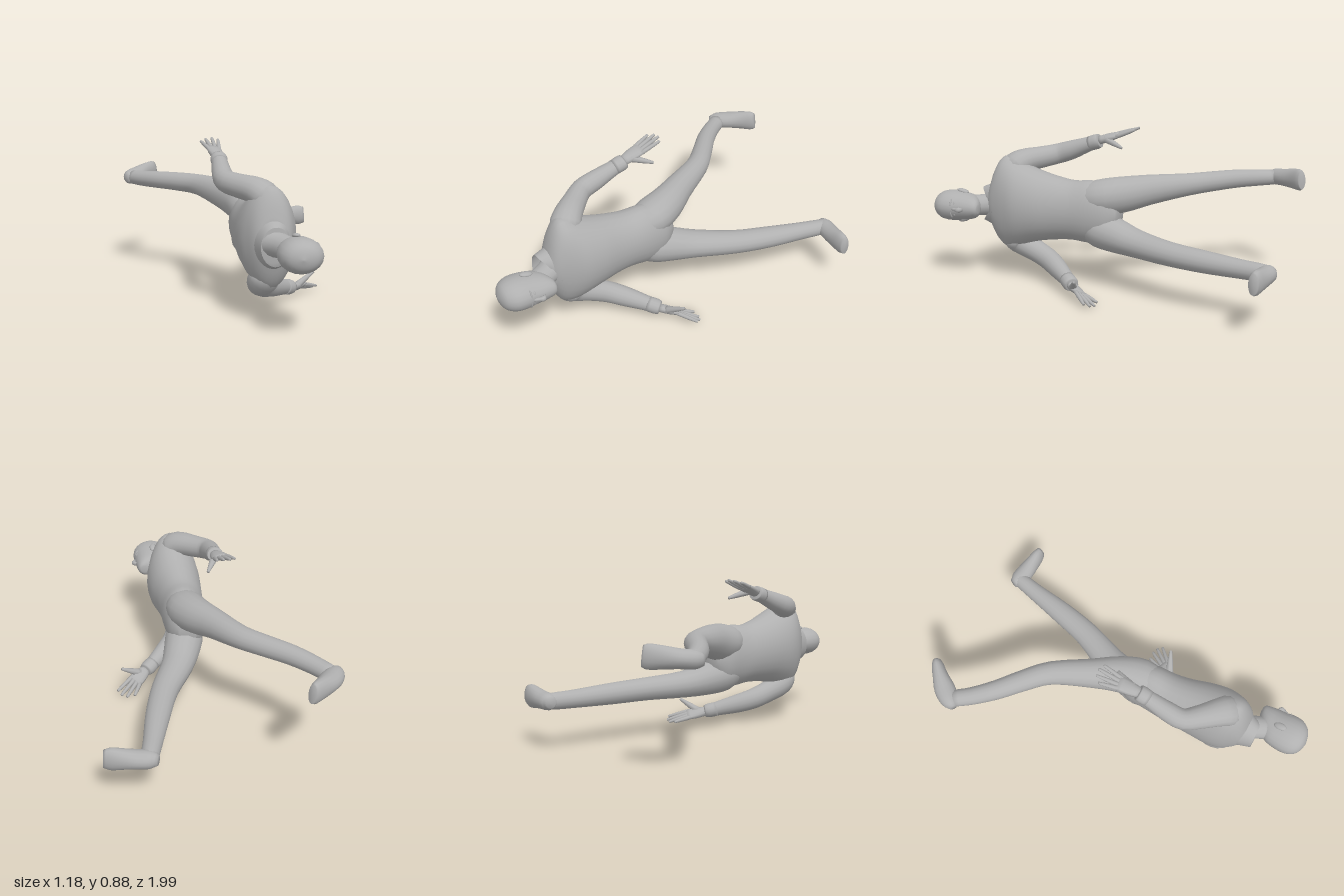
import * as THREE from 'three';

const grey = new THREE.MeshStandardMaterial({ color: 0xb0b0b0, side: THREE.DoubleSide });
grey.name = 'plain grey';

const V = (x, y, z) => new THREE.Vector3(x, y, z);
const Y = V(0, 1, 0);

// Smooth tube through rows of [x, y, z, radiusAcross, radiusAlongRef].
// ref sets the direction of the second radius; axis fixes the section plane.
function loft(name, rows, { ref = Y, axis = null, sides = 16, steps = 3 } = {}) {
  const path = new THREE.CatmullRomCurve3(rows.map((r) => V(r[0], r[1], r[2])), false, 'catmullrom', 0.5);
  const size = new THREE.CatmullRomCurve3(rows.map((r) => V(r[3], r[4], 0)), false, 'catmullrom', 0.5);
  const n = (rows.length - 1) * steps;
  const pos = [], index = [];
  for (let i = 0; i <= n; i++) {
    const p = path.getPoint(i / n), s = size.getPoint(i / n);
    const t = axis || path.getTangent(i / n);
    const u = ref.clone().cross(t).normalize();
    const v = t.clone().cross(u).normalize();
    for (let j = 0; j < sides; j++) {
      const a = (j / sides) * Math.PI * 2;
      const q = p.clone().addScaledVector(u, s.x * Math.cos(a)).addScaledVector(v, s.y * Math.sin(a));
      pos.push(q.x, q.y, q.z);
      if (i < n) {
        const k = (j + 1) % sides, A = i * sides + j, B = i * sides + k;
        index.push(A, B, A + sides, B, B + sides, A + sides);
      }
    }
  }
  // End caps
  const first = rows[0], last = rows[rows.length - 1], c = pos.length / 3;
  pos.push(first[0], first[1], first[2], last[0], last[1], last[2]);
  for (let j = 0; j < sides; j++) {
    const k = (j + 1) % sides;
    index.push(c, k, j, c + 1, n * sides + j, n * sides + k);
  }
  const g = new THREE.BufferGeometry();
  g.setAttribute('position', new THREE.Float32BufferAttribute(pos, 3));
  g.setIndex(index);
  g.computeVertexNormals();
  const m = new THREE.Mesh(g, grey);
  m.name = name;
  return m;
}

function blob(name, p, s) {
  const m = new THREE.Mesh(new THREE.SphereGeometry(1, 14, 10), grey);
  m.name = name;
  m.position.set(...p);
  m.scale.set(...s);
  return m;
}

// Palm, four fingers and a thumb; knuckles run between edgeA and edgeB
function hand(name, wrist, edgeA, edgeB, tips, thumbTip) {
  const g = new THREE.Group();
  g.name = name;
  const w = V(...wrist), a = V(...edgeA), b = V(...edgeB);
  const k = a.clone().lerp(b, 0.5), half = a.distanceTo(b) / 2;
  const across = b.clone().sub(a).normalize();
  const mid = w.clone().lerp(k, 0.5);
  g.add(loft('palm', [
    [...w, 0.024, 0.03], [...mid, 0.022, half + 0.008], [...k, 0.014, half + 0.011],
  ], { ref: across, sides: 12 }));
  tips.forEach((tip, i) => {
    const base = a.clone().lerp(b, i / 3).lerp(w, 0.1), end = V(...tip);
    const bend = base.clone().lerp(end, 0.55);
    g.add(loft('finger', [
      [...base, 0.012, 0.013], [...bend, 0.011, 0.011], [...end, 0.007, 0.008],
    ], { ref: across, sides: 8 }));
  });
  const root = w.clone().lerp(b, 0.35), end = V(...thumbTip), bend = root.clone().lerp(end, 0.55);
  g.add(loft('thumb', [
    [...root, 0.022, 0.024], [...bend, 0.015, 0.016], [...end, 0.008, 0.008],
  ], { ref: across, sides: 8 }));
  return g;
}

function head() {
  const g = new THREE.Group();
  g.name = 'head';
  const y = 0.424;
  const rows = [
    [0.705, 0.262, 0.02, 0.022], [0.718, 0.25, 0.046, 0.044], [0.75, 0.225, 0.078, 0.063],
    [0.79, 0.211, 0.096, 0.073], [0.83, 0.206, 0.103, 0.08], [0.88, 0.206, 0.109, 0.085],
    [0.93, 0.206, 0.104, 0.082], [0.97, 0.204, 0.08, 0.065], [0.99, 0.202, 0.047, 0.039],
    [1.0, 0.2, 0.006, 0.005],
  ].map(([z, x, rx, ry]) => [x, y, z, rx, ry]);
  g.add(loft('skull', rows, { axis: V(0, 0, 1), sides: 20 }));
  g.add(loft('neck', [
    [0.1, 0.435, 0.62, 0.085, 0.085], [0.14, 0.43, 0.69, 0.066, 0.063], [0.19, 0.425, 0.79, 0.062, 0.058],
  ]));
  g.add(loft('nose', [
    [0.303, y, 0.845, 0.009, 0.007], [0.314, y, 0.815, 0.012, 0.01],
    [0.319, y, 0.798, 0.013, 0.015], [0.302, y, 0.785, 0.006, 0.01],
  ], { sides: 8 }));
  g.add(blob('upperLip', [0.295, y, 0.765], [0.008, 0.023, 0.005]));
  g.add(blob('lowerLip', [0.291, y, 0.755], [0.008, 0.02, 0.006]));
  g.add(blob('chin', [0.273, y, 0.725], [0.02, 0.026, 0.017]));
  for (const s of [-1, 1]) {
    const eye = blob('eye', [0.295, y + s * 0.032, 0.838], [0.008, 0.014, 0.006]);
    const brow = blob('brow', [0.298, y + s * 0.034, 0.857], [0.009, 0.023, 0.005]);
    eye.rotation.z = brow.rotation.z = s * 0.4;
    const ear = blob('ear', [0.195, y + s * 0.083, 0.835], [0.02, 0.012, 0.036]);
    ear.rotation.x = s * -0.2;
    g.add(eye, brow, ear);
  }
  return g;
}

// Open collar that dips into a V at the front
function collar() {
  const geo = new THREE.CylinderGeometry(1, 1, 1, 28, 3, true, 0.2, Math.PI * 2 - 0.4);
  const p = geo.attributes.position;
  for (let i = 0; i < p.count; i++) {
    const across = p.getX(i), front = p.getZ(i), h = p.getY(i) + 0.5;
    const r = 1 - 0.25 * h;
    const drop = 0.05 * Math.max(front, 0) ** 2;
    p.setXYZ(i, 0.118 + 0.1 * front * r, 0.43 + 0.13 * across * r, 0.655 + (0.085 - drop) * h - drop * 0.2);
  }
  geo.computeVertexNormals();
  const m = new THREE.Mesh(geo, grey);
  m.name = 'collar';
  return m;
}

export function createModel() {
  const model = new THREE.Group();
  model.name = 'recliningFigure';

  // Torso: rows of z, back x, front x, centre y, half width
  const torso = [
    [-0.07, 0.03, 0.13, 0.42, 0.05], [-0.04, 0.0, 0.16, 0.42, 0.11], [0.01, -0.025, 0.188, 0.42, 0.16],
    [0.1, -0.03, 0.204, 0.425, 0.176], [0.2, -0.04, 0.21, 0.425, 0.168], [0.3, -0.045, 0.225, 0.43, 0.18],
    [0.4, -0.05, 0.25, 0.437, 0.202], [0.5, -0.05, 0.26, 0.442, 0.236], [0.57, -0.035, 0.245, 0.448, 0.263],
    [0.62, -0.01, 0.228, 0.45, 0.25], [0.66, 0.015, 0.21, 0.445, 0.185], [0.69, 0.045, 0.185, 0.435, 0.095],
  ].map(([z, b, f, y, w]) => [(b + f) / 2, y, z, (f - b) / 2, w]);
  model.add(loft('torso', torso, { axis: V(0, 0, 1), sides: 24 }));
  model.add(head(), collar());

  // Legs in mid stride
  model.add(loft('leftLeg', [
    [0.085, 0.49, 0.15, 0.08, 0.08], [0.079, 0.507, 0.05, 0.111, 0.1], [0.037, 0.525, -0.07, 0.1, 0.1],
    [-0.037, 0.547, -0.2, 0.08, 0.084], [-0.148, 0.569, -0.39, 0.064, 0.062], [-0.26, 0.573, -0.5, 0.058, 0.056],
    [-0.375, 0.572, -0.6, 0.053, 0.052], [-0.468, 0.567, -0.7, 0.048, 0.047], [-0.53, 0.565, -0.785, 0.046, 0.043],
  ]));
  model.add(loft('leftFoot', [
    [-0.572, 0.563, -0.755, 0.02, 0.027], [-0.55, 0.566, -0.79, 0.048, 0.045], [-0.507, 0.573, -0.85, 0.056, 0.048],
    [-0.455, 0.58, -0.91, 0.042, 0.056], [-0.412, 0.584, -0.952, 0.032, 0.06], [-0.392, 0.587, -0.97, 0.022, 0.05],
  ]));
  model.add(loft('rightLeg', [
    [0.09, 0.36, 0.13, 0.08, 0.08], [0.092, 0.33, 0.04, 0.105, 0.1], [0.118, 0.308, -0.07, 0.1, 0.092],
    [0.16, 0.288, -0.2, 0.087, 0.074], [0.245, 0.278, -0.4, 0.073, 0.063], [0.298, 0.272, -0.6, 0.065, 0.058],
    [0.34, 0.268, -0.8, 0.051, 0.049], [0.362, 0.268, -0.9, 0.046, 0.046], [0.372, 0.268, -0.95, 0.04, 0.042],
  ]));
  model.add(loft('rightFoot', [
    [0.33, 0.268, -0.962, 0.025, 0.027], [0.365, 0.268, -0.948, 0.048, 0.044], [0.43, 0.268, -0.938, 0.05, 0.047],
    [0.5, 0.27, -0.93, 0.042, 0.057], [0.55, 0.272, -0.925, 0.035, 0.063], [0.588, 0.274, -0.922, 0.024, 0.052],
  ]));

  // Arms with loose cuffs
  model.add(loft('leftArm', [
    [0.11, 0.57, 0.56, 0.06, 0.05], [0.095, 0.64, 0.56, 0.083, 0.075], [0.05, 0.675, 0.52, 0.076, 0.068],
    [-0.02, 0.688, 0.45, 0.064, 0.062], [-0.083, 0.702, 0.375, 0.056, 0.058], [-0.093, 0.728, 0.29, 0.053, 0.054],
    [-0.092, 0.762, 0.2, 0.045, 0.043], [-0.092, 0.784, 0.14, 0.04, 0.038],
  ]));
  model.add(loft('leftCuff', [
    [-0.092, 0.772, 0.175, 0.043, 0.041], [-0.092, 0.785, 0.135, 0.046, 0.042], [-0.093, 0.792, 0.115, 0.042, 0.038],
  ]));
  model.add(loft('rightArm', [
    [0.12, 0.32, 0.56, 0.06, 0.05], [0.095, 0.245, 0.56, 0.083, 0.077], [0.08, 0.205, 0.52, 0.075, 0.071],
    [0.093, 0.172, 0.44, 0.064, 0.063], [0.123, 0.137, 0.345, 0.058, 0.06], [0.18, 0.11, 0.265, 0.054, 0.055],
    [0.25, 0.085, 0.185, 0.043, 0.044], [0.295, 0.068, 0.135, 0.038, 0.036],
  ]));
  model.add(loft('rightCuff', [
    [0.262, 0.08, 0.172, 0.042, 0.042], [0.295, 0.07, 0.138, 0.044, 0.042], [0.312, 0.065, 0.12, 0.037, 0.035],
  ]));

  // Hands
  model.add(hand('leftHand', [-0.093, 0.793, 0.12], [-0.14, 0.835, 0.01], [-0.075, 0.825, 0],
    [[-0.168, 0.86, -0.077], [-0.14, 0.869, -0.103], [-0.105, 0.873, -0.11], [-0.072, 0.865, -0.097]],
    [-0.033, 0.768, -0.036]));
  model.add(hand('rightHand', [0.31, 0.065, 0.125], [0.355, 0.032, 0.025], [0.405, 0.062, 0.055],
    [[0.388, 0.016, -0.054], [0.432, 0.011, -0.058], [0.463, 0.017, -0.045], [0.481, 0.03, -0.018]],
    [0.45, 0.131, 0.051]));

  return model;
}
